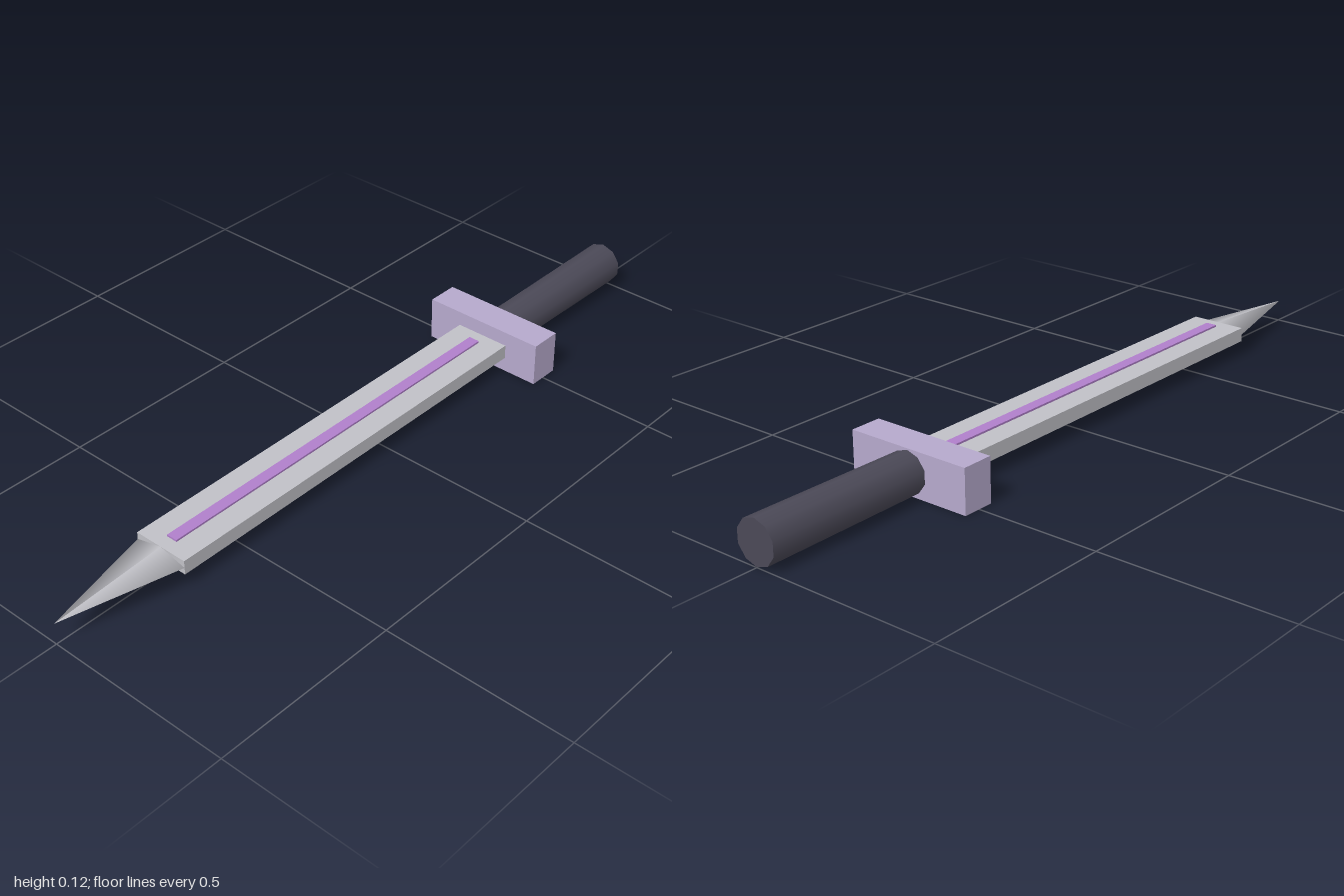
import * as THREE from 'three';

export function createModel() {
  const sword = new THREE.Group();
  sword.name = 'sword';
  const mat = (name, color) => {
    const m = new THREE.MeshStandardMaterial({ color });
    m.name = name;
    return m;
  };
  const steel = mat('steel grey', 0xc0c0c6);
  const lavender = mat('lavender', 0xb6a9cc);
  const violet = mat('violet', 0xb07fcb);
  const charcoal = mat('charcoal', 0x4b4957);
  const midY = 0.058;

  const add = (name, geometry, material, z, y = midY) => {
    const mesh = new THREE.Mesh(geometry, material);
    mesh.name = name;
    mesh.position.set(0, y, z);
    sword.add(mesh);
    return mesh;
  };
  // Box spanning z0..z1
  const bar = (name, width, height, z0, z1, material, y) =>
    add(name, new THREE.BoxGeometry(width, height, z1 - z0), material, (z0 + z1) / 2, y);

  bar('guard', 0.344, 0.116, -0.545, -0.46, lavender);
  bar('blade', 0.152, 0.038, -0.46, 0.69, steel);

  // Raised strip on both faces of the blade
  for (const side of [1, -1]) {
    bar(side > 0 ? 'upperStrip' : 'lowerStrip', 0.03, 0.006, -0.425, 0.655, violet, midY + side * 0.021);
  }

  // Flattened four-sided point, smooth shaded
  const tip = new THREE.ConeGeometry(1, 0.31, 4).rotateX(Math.PI / 2).scale(0.076, 0.019, 1);
  add('bladeTip', tip, steel, 0.845);

  // Ten-sided grip, slightly thicker at the end
  const grip = new THREE.CylinderGeometry(0.054, 0.057, 0.455, 10).rotateX(Math.PI / 2);
  add('grip', grip, charcoal, -0.7725);

  return sword;
}
